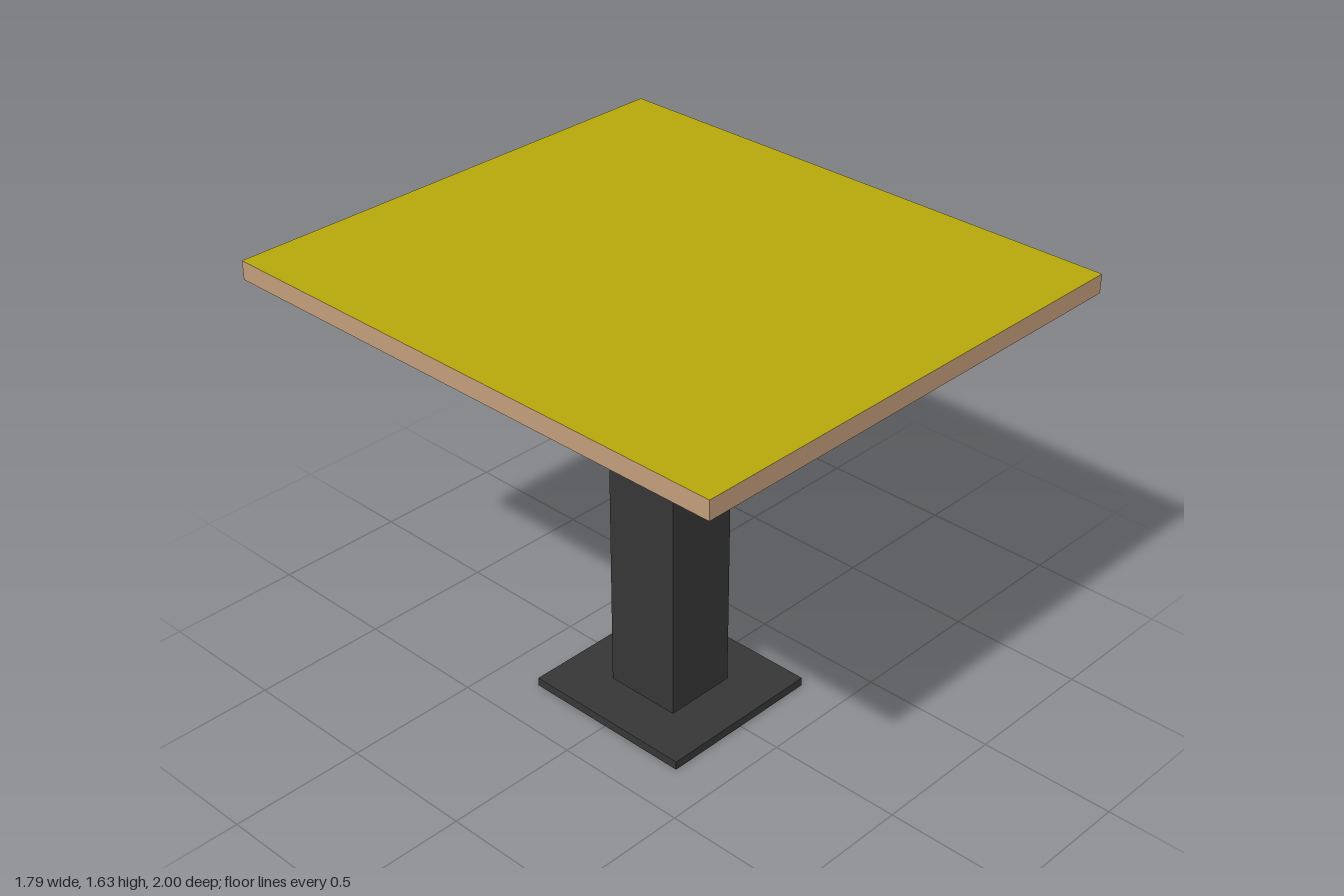
import * as THREE from 'three';

export function createModel() {
  const model = new THREE.Group();
  model.name = 'pedestalTable';

  const material = (name, color) => {
    const m = new THREE.MeshStandardMaterial({ color });
    m.name = name;
    return m;
  };
  const darkMetal = material('dark metal', 0x363636);
  const wood = material('tan wood', 0xc49e7c);
  const yellow = material('mustard yellow', 0xb8a90c);

  // Box given by its centre in x and z, and its bottom and top heights
  const addBox = (name, width, depth, bottom, top, x, z, mat) => {
    const mesh = new THREE.Mesh(new THREE.BoxGeometry(width, top - bottom, depth), mat);
    mesh.name = name;
    mesh.position.set(x, (bottom + top) / 2, z);
    model.add(mesh);
  };

  // Foot plate and square column
  addBox('basePlate', 0.637, 0.665, 0, 0.032, -0.001, 0.003, darkMetal);
  addBox('column', 0.276, 0.29, 0.032, 1.568, -0.001, 0.003, darkMetal);

  // Table top: wooden edges and underside, yellow upper face
  addBox('tableTop', 1.788, 2, 1.568, 1.635, 0, 0,
    [wood, wood, yellow, wood, wood, wood]);

  return model;
}
